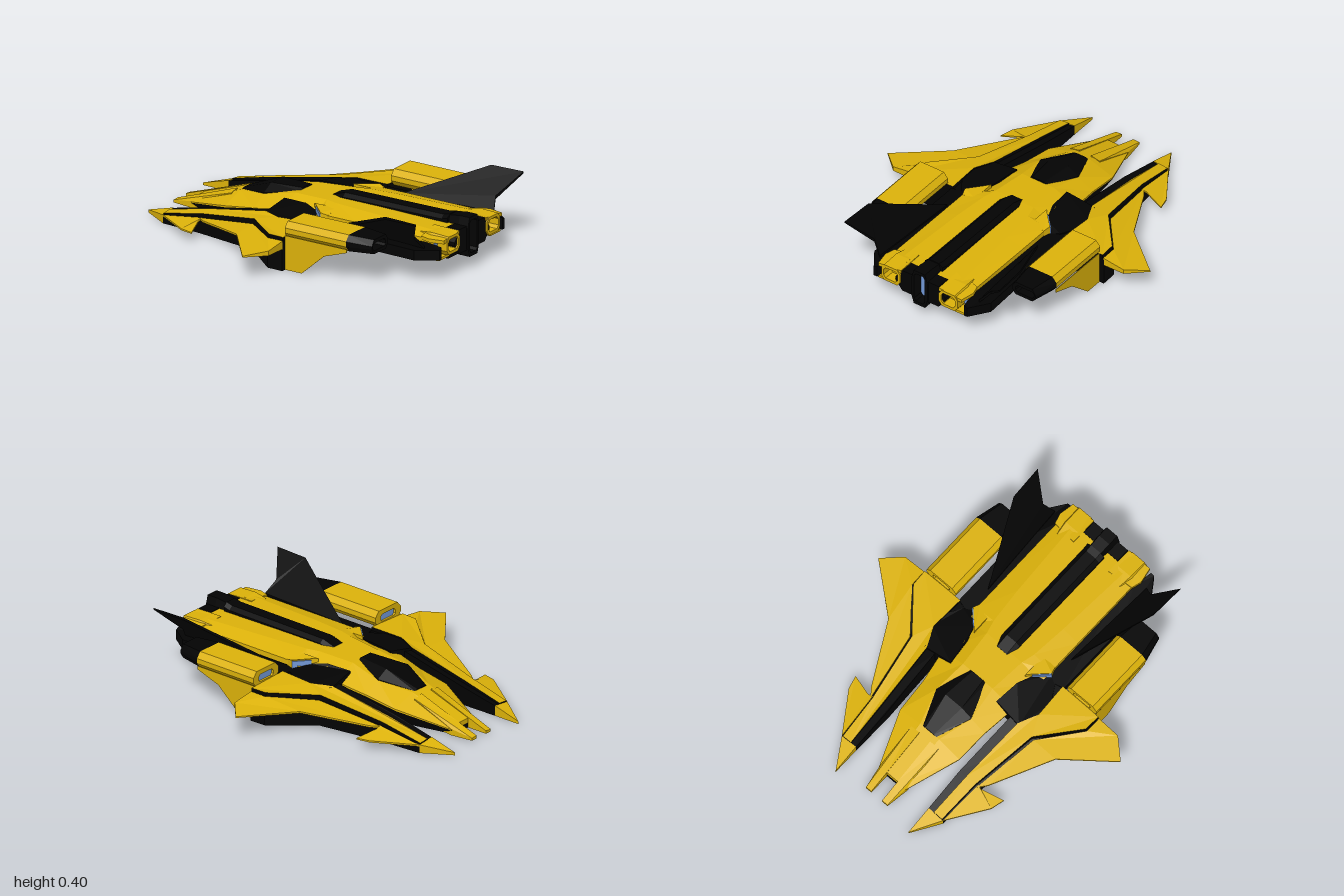
import * as THREE from 'three';

const mat = (name, color) => {
  const m = new THREE.MeshStandardMaterial({ color, flatShading: true });
  m.name = name;
  return m;
};

// Mesh from lists of triangles, one list per material
function build(name, lists, mats) {
  const geo = new THREE.BufferGeometry();
  const pos = [];
  lists.forEach((tris, i) => {
    geo.addGroup(pos.length / 3, tris.length * 3, i);
    tris.forEach(t => t.forEach(p => pos.push(...p)));
  });
  geo.setAttribute('position', new THREE.Float32BufferAttribute(pos, 3));
  geo.computeVertexNormals();
  const mesh = new THREE.Mesh(geo, mats);
  mesh.name = name;
  return mesh;
}

const area = pts => pts.reduce((s, p, i) => {
  const q = pts[(i + 1) % pts.length];
  return s + p[0] * q[1] - p[1] * q[0];
}, 0);

// Plate with a plan outline of [x, z, topY, bottomY]; mats = [top, side, bottom]
function slab(name, outline, mats, side = 1) {
  let pts = outline.map(([x, z, t, b]) => [x, z * side, t, b]);
  if (area(pts) > 0) pts = pts.reverse();
  const T = p => [p[0], p[2], p[1]], B = p => [p[0], p[3], p[1]];
  const top = [], walls = [], bottom = [];
  THREE.ShapeUtils.triangulateShape(pts.map(p => new THREE.Vector2(p[0], p[1])), []).forEach(f => {
    let tri = f.map(i => pts[i]);
    if (area(tri) > 0) tri = tri.reverse();
    top.push(tri.map(T));
    bottom.push(tri.map(B).reverse());
  });
  pts.forEach((a, i) => {
    const b = pts[(i + 1) % pts.length];
    walls.push([B(a), B(b), T(b)], [B(a), T(b), T(a)]);
  });
  return build(name, [top, walls, bottom], mats);
}

// Hull through sections along x, each [x, [[z, y], ...]]; sections that step back make a recess
function loft(name, sections, material, side = 1) {
  const rings = sections.map(([x, ring]) => {
    const r = ring.map(([z, y]) => [z * side, y]);
    if (area(r) > 0) r.reverse();
    return r.map(([z, y]) => [x, y, z]);
  });
  const tris = [], n = rings[0].length, last = rings[rings.length - 1];
  for (let k = 0; k + 1 < rings.length; k++) {
    for (let i = 0; i < n; i++) {
      const j = (i + 1) % n, a = rings[k], b = rings[k + 1];
      tris.push([a[i], a[j], b[j]], [a[i], b[j], b[i]]);
    }
  }
  for (let i = 1; i + 1 < n; i++) {
    tris.push([rings[0][0], rings[0][i + 1], rings[0][i]], [last[0], last[i], last[i + 1]]);
  }
  return build(name, [tris], [material]);
}

// Eight-sided ring with cut corners
const octagon = (z, y, w, h, cw = w * 0.3, ch = h * 0.5) => [
  [z - w, y - ch], [z - w, y + ch], [z - w + cw, y + h], [z + w - cw, y + h],
  [z + w, y + ch], [z + w, y - ch], [z + w - cw, y - h], [z - w + cw, y - h]];

export function createModel() {
  const yellow = mat('yellow paint', 0xdcb20a);
  const black = mat('black hull', 0x030303);
  const blue = mat('blue glow', 0x7298d6);
  const Y = [yellow, yellow, yellow], K = [black, black, black], B = [blue, blue, blue];
  const YK = [yellow, yellow, black], deckMats = [yellow, black, black];
  const ship = new THREE.Group();
  ship.name = 'spaceship';
  const add = (...m) => ship.add(...m);

  // Fuselage: x, half width, deck half width, deck y, shoulder y, side y, keel y, keel half width
  const hull = [
    [-0.83, 0.1, 0.06, 0.068, 0.045, 0.04, 0.01, 0.08], [-0.52, 0.22, 0.07, 0.17, 0.12, 0.11, 0.015, 0.16],
    [-0.32, 0.23, 0.13, 0.205, 0.15, 0.14, 0.02, 0.18], [-0.12, 0.26, 0.11, 0.245, 0.185, 0.175, 0.02, 0.2],
    [0.1, 0.27, 0.13, 0.255, 0.186, 0.18, 0.02, 0.2], [0.18, 0.28, 0.15, 0.255, 0.225, 0.195, 0.025, 0.2],
    [0.4, 0.28, 0.17, 0.255, 0.225, 0.195, 0.07, 0.18], [0.92, 0.28, 0.2, 0.248, 0.225, 0.195, 0.075, 0.14]];
  add(loft('upperHull', hull.map(([x, w, d, t, m, e]) =>
    [x, [[-w, e], [-w, m], [-d, t], [d, t], [w, m], [w, e]]]), yellow));
  add(loft('lowerHull', hull.map(([x, w, d, t, m, e, b, k]) => [x, [[w, e], [k, b], [-k, b], [-w, e]]]), black));

  // Cockpit canopy
  add(loft('canopy', [[-0.52, 0.05, 0.03, 0.15, 0.176], [-0.32, 0.13, 0.06, 0.19, 0.25], [-0.12, 0.06, 0.04, 0.22, 0.254]]
    .map(([x, w, t, b, y]) => [x, [[-w, b], [-w, b + 0.02], [-t, y], [t, y], [w, b + 0.02], [w, b]]]), black));

  // Dorsal spine
  add(loft('spine', [[0.08, 0.256], [0.16, 0.28], [0.82, 0.285], [0.86, 0.295]]
    .map(([x, y]) => [x, [[-0.06, 0.2], [-0.06, y - 0.02], [-0.035, y], [0.035, y], [0.06, y - 0.02], [0.06, 0.2]]]), black));

  // Main engine: winged block and a tall slot with a glow deep inside
  const slot = octagon(0, 0.185, 0.036, 0.095, 0.012, 0.08);
  add(loft('engineSlot', [[0.82, octagon(0, 0.18, 0.05, 0.105)], [0.93, octagon(0, 0.185, 0.055, 0.115)],
    [0.995, octagon(0, 0.185, 0.055, 0.115)], [0.995, slot], [0.925, slot]], black));
  add(loft('engineGlow', [[0.922, slot], [0.928, slot]], blue));

  for (const s of [1, -1]) {
    add(loft('engineBlock', [0.9, 0.985].map(x =>
      [x, [[0.04, 0.112], [0.04, 0.252], [0.125, 0.252], [0.17, 0.19], [0.17, 0.17], [0.125, 0.112]]]), black, s));

    // Forked nose
    add(slab('noseProng', [[-0.96, 0.04, 0.028, 0.01], [-0.96, 0.08, 0.025, 0.01], [-0.82, 0.1, 0.05, 0.01],
      [-0.56, 0.1, 0.152, 0.05], [-0.56, 0.04, 0.165, 0.05], [-0.82, 0.04, 0.075, 0.01]], YK, s));

    // Wing pod: yellow tip, black body, raised yellow deck with a black step around it
    add(slab('wingTip', [[-1, 0.27, 0.016, 0], [-0.83, 0.375, 0.05, 0], [-0.83, 0.27, 0.062, 0]], Y, s));
    add(slab('wingPod', [[-0.83, 0.27, 0.06, 0], [-0.83, 0.375, 0.04, 0], [-0.57, 0.395, 0.085, 0], [-0.17, 0.458, 0.145, 0],
      [0.06, 0.652, 0.168, 0], [0.16, 0.655, 0.168, 0], [0.16, 0.28, 0.19, 0], [-0.17, 0.28, 0.19, 0],
      [-0.57, 0.265, 0.115, 0]], K, s));
    add(slab('wingDeck', [[-0.83, 0.308, 0.064, 0.03], [-0.83, 0.368, 0.058, 0.03], [-0.57, 0.382, 0.112, 0.07],
      [-0.17, 0.445, 0.18, 0.13], [0.06, 0.64, 0.195, 0.15], [0.16, 0.645, 0.195, 0.15], [0.16, 0.38, 0.206, 0.15],
      [-0.05, 0.39, 0.2, 0.15], [-0.17, 0.335, 0.195, 0.13], [-0.57, 0.315, 0.122, 0.07]], deckMats, s));

    // Outer wing and canard
    add(slab('wing', [[-0.57, 0.395, 0.092, 0.08], [-0.52, 0.435, 0.095, 0.084], [-0.17, 0.62, 0.142, 0.132],
      [0.06, 0.9, 0.14, 0.132], [0.16, 0.79, 0.158, 0.13], [0.16, 0.65, 0.176, 0.128],
      [0.06, 0.648, 0.175, 0.13], [-0.17, 0.458, 0.155, 0.132]], Y, s));
    add(slab('canard', [[-0.83, 0.375, 0.05, 0.04], [-0.6, 0.53, 0.06, 0.05], [-0.52, 0.55, 0.06, 0.052],
      [-0.56, 0.42, 0.085, 0.075], [-0.555, 0.392, 0.094, 0.083]], Y, s));

    // Shoulder trough leading to a lit intake in the hull side
    add(slab('shoulder', [[-0.155, 0.17, 0.226, 0.1], [-0.17, 0.35, 0.19, 0.1], [-0.05, 0.4, 0.192, 0.1], [0.05, 0.395, 0.194, 0.1],
      [0.14, 0.34, 0.192, 0.1], [0.17, 0.285, 0.19, 0.1], [0.1, 0.22, 0.212, 0.1], [0, 0.185, 0.231, 0.1]], K, s));
    add(slab('intakeGlow', [[0.085, 0.22, 0.237, 0.18], [0.164, 0.297, 0.232, 0.17], [0.169, 0.291, 0.232, 0.17],
      [0.09, 0.214, 0.237, 0.18]], B, s));
    add(slab('intakeCowl', [[0.06, 0.19, 0.245, 0.18], [0.086, 0.212, 0.244, 0.18], [0.168, 0.292, 0.238, 0.18],
      [0.21, 0.279, 0.227, 0.18], [0.21, 0.19, 0.243, 0.18]], Y, s));

    // Nacelle, open at both ends with a glow inside
    const body = octagon(0.522, 0.232, 0.108, 0.048, 0.028, 0.015);
    const tail = octagon(0.515, 0.23, 0.08, 0.042, 0.022, 0.008);
    const mouth = octagon(0.522, 0.23, 0.062, 0.022, 0.012, 0.01);
    add(loft('nacelle', [[0.18, mouth], [0.16, mouth], [0.16, body], [0.57, body]], yellow, s));
    add(loft('nacelleTail', [[0.57, body], [0.72, tail], [0.72, mouth], [0.58, mouth]], black, s));
    add(loft('nacelleIntakeGlow', [[0.173, mouth], [0.18, mouth]], blue, s));
    add(loft('nacelleExhaustGlow', [[0.58, mouth], [0.588, mouth]], blue, s));

    // Keel plates below the nacelle
    const plate = new THREE.Shape([[0.16, 0.2], [0.57, 0.2], [0.57, 0.18], [0.42, 0.13], [0.27, 0], [0.16, 0]]
      .map(p => new THREE.Vector2(...p)));
    const keel = new THREE.Mesh(new THREE.ExtrudeGeometry(plate, { depth: 0.004, bevelEnabled: false }), yellow);
    keel.position.z = s * 0.624 - 0.002;
    keel.name = 'keelPlate';
    add(keel);
    add(slab('innerKeel', [[-0.1, 0.268, 0.13, 0.002], [0.165, 0.27, 0.13, 0.002], [0.165, 0.33, 0.13, 0.002],
      [-0.1, 0.285, 0.13, 0.002]], Y, s));

    // Rear side body with yellow trim below
    add(slab('sideBody', [[0.12, 0.24, 0.19, 0.13], [0.16, 0.39, 0.19, 0.13], [0.6, 0.39, 0.19, 0.13], [0.87, 0.4, 0.19, 0.13],
      [0.985, 0.32, 0.19, 0.13], [0.985, 0.298, 0.2, 0.13], [0.87, 0.28, 0.203, 0.13], [0.8, 0.24, 0.203, 0.13]], K, s));
    add(slab('sideTrim', [[0.03, 0.2, 0.132, 0.117], [0.16, 0.32, 0.132, 0.117], [0.86, 0.325, 0.132, 0.117],
      [0.97, 0.3, 0.132, 0.117], [0.97, 0.2, 0.132, 0.117]], Y, s));

    // Hollow yellow exhaust duct under a roof, with a narrow lit slit beside it
    const bore = octagon(0.197, 0.193, 0.048, 0.036);
    add(loft('exhaustDuct', [[0.8, octagon(0.19, 0.19, 0.06, 0.05)], [0.88, octagon(0.195, 0.193, 0.066, 0.058)],
      [0.995, octagon(0.197, 0.193, 0.064, 0.053)], [0.995, bore], [0.93, bore]], yellow, s));
    add(slab('ductRoof', [[0.82, 0.13, 0.254, 0.23], [0.84, 0.285, 0.235, 0.215], [0.9, 0.302, 0.235, 0.215],
      [0.99, 0.285, 0.235, 0.215], [0.99, 0.13, 0.25, 0.232]], Y, s));
    add(slab('slitGlow', [[0.925, 0.262, 0.216, 0.15], [0.925, 0.29, 0.216, 0.15], [0.931, 0.29, 0.216, 0.15],
      [0.931, 0.262, 0.216, 0.15]], B, s));

    // Canted tail fin
    add(slab('tailFin', [[0.31, 0.31, 0.205, 0.185], [0.76, 0.52, 0.4, 0.385], [0.97, 0.53, 0.4, 0.39],
      [0.87, 0.4, 0.275, 0.255], [0.9, 0.34, 0.205, 0.185]], K, s));
  }
  return ship;
}
